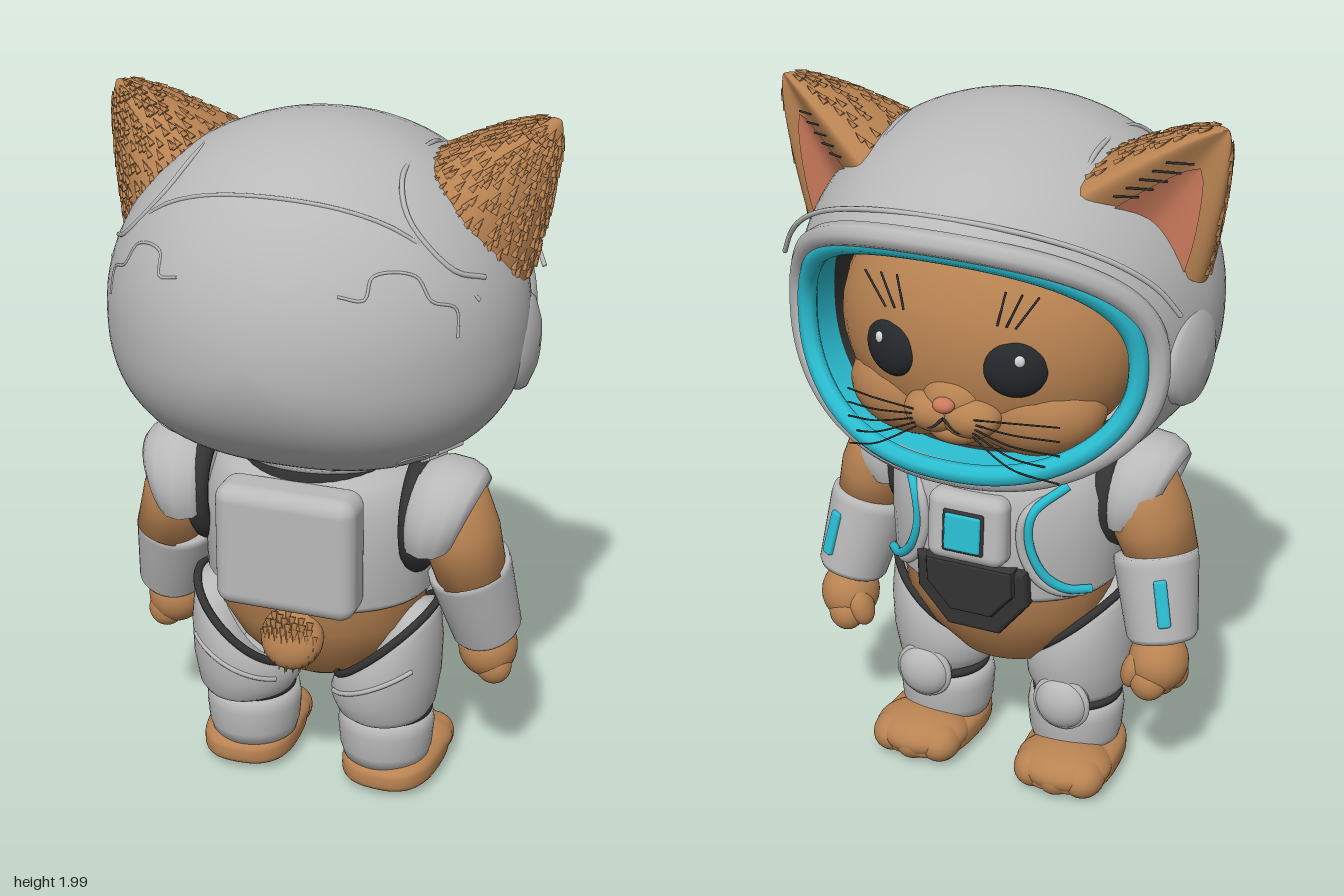
import * as THREE from 'three';
import { mergeGeometries } from 'three/addons/utils/BufferGeometryUtils.js';
import { RoundedBoxGeometry } from 'three/addons/geometries/RoundedBoxGeometry.js';

const V = (x, y, z) => new THREE.Vector3(x, y, z);
const mat = (name, color, double) => {
  const m = new THREE.MeshStandardMaterial({ color });
  m.name = name;
  if (double) m.side = THREE.DoubleSide;
  return m;
};
const suit = mat('suit grey', 0xb9b9ba, true), fur = mat('fur brown', 0xb98352);
const teal = mat('teal light', 0x2abdd1, true), dark = mat('dark rubber', 0x343435, true), pink = mat('ear pink', 0xcb7a5c, true);
const eyeMat = mat('eye black', 0x25282c), white = mat('eye highlight', 0xd4d6d8);

function add(parent, name, geo, material, p = [0, 0, 0], rot = [0, 0, 0], scale = [1, 1, 1]) {
  const m = new THREE.Mesh(geo, material);
  m.name = name;
  m.position.set(...p); m.rotation.set(...rot); m.scale.set(...scale);
  parent.add(m);
  return m;
}
const ell = (g, name, m, p, r, rot) => add(g, name, new THREE.SphereGeometry(1, 32, 20), m, p, rot, r);
const tube = (g, name, m, pts, r, closed = false) =>
  add(g, name, new THREE.TubeGeometry(new THREE.CatmullRomCurve3(pts, closed, 'centripetal'), pts.length * 5, r, 8, closed), m);
const lathe = (g, name, m, prof, p, rot, zs = 1) =>
  add(g, name, new THREE.LatheGeometry(prof.map(q => new THREE.Vector2(...q)), 40), m, p, rot, [1, 1, zs]);
const range = (n, f) => Array.from({ length: n }, (_, i) => f(i));
const pw = (v, e) => Math.sign(v) * Math.abs(v) ** e;

// Skin a list of equal cross-section rows
function loft(rows, closed = true) {
  const n = rows[0].length, pos = [], idx = [];
  rows.forEach(r => r.forEach(p => pos.push(p.x, p.y, p.z)));
  for (let i = 0; i < rows.length - 1; i++) for (let j = 0; j < (closed ? n : n - 1); j++) {
    const a = i * n + j, b = i * n + (j + 1) % n;
    idx.push(a, b, b + n, a, b + n, a + n);
  }
  const g = new THREE.BufferGeometry();
  g.setAttribute('position', new THREE.Float32BufferAttribute(pos, 3));
  g.setIndex(idx);
  g.computeVertexNormals();
  return g;
}

// Mirrored copy with corner order restored
function mirror(src, name) {
  const out = new THREE.Group();
  out.name = name;
  src.updateMatrixWorld(true);
  src.traverse(o => {
    if (!o.isMesh) return;
    const g = o.geometry.clone().applyMatrix4(o.matrixWorld), n = g.attributes.normal, p = g.attributes.position;
    const ix = g.index ? Array.from(g.index.array) : range(p.count, i => i);
    for (let i = 0; i < ix.length; i += 3) [ix[i], ix[i + 1]] = [ix[i + 1], ix[i]];
    g.setIndex(ix);
    for (let i = 0; i < p.count; i++) {
      p.setX(i, -p.getX(i));
      n.setX(i, -n.getX(i));
    }
    add(out, o.name, g, o.material);
  });
  return out;
}

// Visor opening outline; lift moves its top edge forward
function rim(phi, s = 1, dz = 0, lift = 0) {
  const c = Math.cos(phi), q = Math.sin(phi);
  return V(0.485 * s * pw(c, 0.88), 1.41 + 0.325 * s * pw(q, 0.88), 0.27 + (q > 0 ? 0.24 + lift : 0.14) * q * q + dz);
}
const rimLoop = (n, ...r) => range(n, i => rim(i / n * Math.PI * 2, ...r));

// Helmet surface: round above the middle, fuller below
const MID = 1.46, UP = 0.52, DOWN = 0.42;
const shellTop = (x, z) => V(x, MID + UP * Math.sqrt(Math.max(0, 1 - (x / 0.57) ** 2 - (z / 0.54) ** 2)), z);
function shellBack(x, y) {
  const e = y < MID ? 2.5 : 2, h = y < MID ? DOWN : UP;
  const q = (Math.abs(x / 0.57) ** e + Math.abs((y - MID) / h) ** e) ** (1 / e);
  return V(x, y, -0.54 * Math.sqrt(Math.max(0, 1 - q * q)));
}

function helmet(g) {
  const rows = range(45, i => {
    const t = i / 44, a = t * 2.2, w = THREE.MathUtils.smoothstep(t, 0.72, 1);
    return range(96, j => {
      const p = j / 96 * Math.PI * 2, c = Math.cos(p), s = Math.sin(p), low = s < 0, r = Math.sin(a);
      const v = V(0.57 * r * pw(c, low ? 0.8 : 1), MID + r * (low ? DOWN * pw(s, 0.8) : UP * s), -0.54 * Math.cos(a));
      v.lerp(rim(p, 1.075, -0.02, 0.015), w);
      v.y += 0.16 * w * (1 - w) * s; // fuller brow and jaw
      return v;
    });
  });
  add(g, 'helmetShell', loft(rows), suit);
  tube(g, 'visorLip', suit, rimLoop(48, 1.045, -0.02, 0.02), 0.033, true);
  tube(g, 'visorGlowRing', teal, rimLoop(48, 0.965, 0.017, -0.03), 0.027, true);
  add(g, 'visorGlowBand', loft([rimLoop(64, 0.96, 0.01, -0.03), rimLoop(64, 0.94, -0.11)]), teal);
  add(g, 'visorLiner', loft([rimLoop(64, 0.94, -0.11), rimLoop(64, 0.97, -0.25)]), dark);
  tube(g, 'crownSeam', suit, [-0.5, -0.3, 0, 0.3, 0.5].map(x => shellTop(x, -0.35 + 0.55 * x * x)), 0.006);
  tube(g, 'browSeam', suit, range(13, i => rim(Math.PI * (0.1 + i / 15), 1.2, -0.055, 0.01)), 0.007);
  lathe(g, 'neckSeal', dark, [[0.22, 0.95], [0.24, 1.0], [0.22, 1.08]], [0, 0, 0.04]);
  lathe(g, 'helmetCollar', suit, [[0.2, 1.03], [0.26, 1.035], [0.29, 1.06], [0.27, 1.1]], [0, 0, 0.08]);
}

function helmetSide(g) {
  lathe(g, 'earphoneDisc', suit, [[0.132, -0.06], [0.132, 0], [0.122, 0.016], [0.07, 0.036], [0, 0.042]], [0.543, 1.385, 0.1], [0, -0.08, -Math.PI / 2]);
  tube(g, 'earPanelSeam', suit, [[0.28, 0.2], [0.28, 0.1], [0.28, -0.17], [0.33, -0.26], [0.44, -0.25], [0.5, -0.17]].map(p => shellTop(...p)), 0.007);
  tube(g, 'rearBracketSeam', suit, [[0.21, 1.66], [0.27, 1.65], [0.28, 1.7], [0.37, 1.69], [0.41, 1.63], [0.46, 1.6], [0.47, 1.53]].map(p => shellBack(...p)), 0.004);
  tube(g, 'lowerRearSeam', suit, [[0.3, 1.13], [0.33, 1.17], [0.39, 1.18]].map(p => shellBack(...p)), 0.004);
  for (const k of [0, 1, 2]) tube(g, 'sideVent', suit, [shellBack(0.4 - k * 0.03, 1.17 - k * 0.03), shellBack(0.445 - k * 0.04, 1.175 - k * 0.03)], 0.008);
}

function ear(g) {
  const base = [V(0.555, 1.585, 0.1), V(0.53, 1.6, -0.05), V(0.41, 1.72, -0.165), V(0.3, 1.86, -0.08), V(0.29, 1.83, 0.28), V(0.4, 1.69, 0.157)];
  const curve = new THREE.CatmullRomCurve3(base, true), c0 = V(0.42, 1.7, 0.07), tip = V(0.615, 1.99, 0.1);
  const at = (u, t) => curve.getPoint(u).sub(c0).multiplyScalar((1 - t) ** 0.75).add(c0.clone().lerp(tip, t));
  add(g, 'earShell', loft(range(21, i => range(48, j => at(j / 48, 1 - (1 - i / 20) ** 1.4)))), fur);
  const face = V(0.57, -0.08, 0.82).multiplyScalar(0.006);
  add(g, 'innerEar', loft(range(12, i => range(12, j => {
    const t = i / 11, w = 0.1 * Math.sqrt(1 - t * t);
    return at(0.845 + (j / 5.5 - 1) * w, 0.02 + t * 0.68).add(face);
  })), false), pink);
  // Fur tufts over the back of the ear
  let seed = 7;
  const rnd = () => (seed = (seed * 16807) % 2147483647) / 2147483647;
  const tufts = [];
  for (let i = 0; i < 15; i++) for (let j = 0; j < 15; j++) {
    const u = 0.03 + (j + rnd()) / 15 * 0.6, t = 0.03 + (i + rnd()) / 15 * 0.87, p = at(u, t);
    const out = p.clone().sub(c0.clone().lerp(tip, t)).normalize();
    const dir = at(u, t + 0.05).sub(p).normalize().addScaledVector(out, 0.22).normalize();
    const q = new THREE.Quaternion().setFromUnitVectors(V(0, 1, 0), dir);
    tufts.push(new THREE.ConeGeometry(0.01, 0.034, 5).translate(0, 0.009, 0).applyQuaternion(q).translate(p.x, p.y, p.z));
  }
  add(g, 'earTufts', mergeGeometries(tufts), fur);
  for (let k = 0; k < 5; k++) tube(g, 'earHair', dark, [at(0.72, 0.2 + k * 0.1).add(face), at(0.76 + 0.01 * k, 0.3 + k * 0.1).addScaledVector(face, 2)], 0.003);
}

function faceSide(g) {
  ell(g, 'eye', eyeMat, [0.175, 1.395, 0.372], [0.086, 0.08, 0.042], [0, 0.4, 0]);
  ell(g, 'eyeHighlight', white, [0.195, 1.427, 0.402], [0.014, 0.016, 0.009], [0, 0.4, 0]);
  ell(g, 'eyeRim', white, [0.118, 1.375, 0.405], [0.01, 0.03, 0.01], [0, 0.3, 0.4]);
  ell(g, 'muzzleCheek', fur, [0.05, 1.245, 0.38], [0.085, 0.06, 0.068]);
  ell(g, 'cheek', fur, [0.16, 1.24, 0.23], [0.2, 0.14, 0.15]);
  tube(g, 'mouthLine', dark, [V(0, 1.25, 0.442), V(0.04, 1.217, 0.437), V(0.09, 1.222, 0.419)], 0.004);
  for (let k = 0; k < 5; k++) tube(g, 'whisker', dark, [V(0.08, 1.26 - k * 0.012, 0.437), V(0.19, 1.275 - k * 0.032, 0.445), V(0.3, 1.26 - k * 0.04, 0.39)], 0.0025);
  for (let k = 0; k < 3; k++) tube(g, 'browHair', dark, [V(0.13 + k * 0.025, 1.51, 0.393), V(0.15 + k * 0.045, 1.6, 0.385)], 0.003);
}

function arm(g) {
  lathe(g, 'upperArm', fur, [[0, -0.17], [0.095, -0.13], [0.108, 0], [0.1, 0.1], [0.06, 0.15], [0, 0.165]], [0.415, 0.84, 0], [0.05, 0, 0.3], 1.18);
  add(g, 'armholeSeal', new THREE.TorusGeometry(0.145, 0.032, 12, 36), dark, [0.308, 0.9, -0.02], [0, Math.PI / 2, 0], [0.85, 1, 1]);
  // Shoulder shell: an arch that flares out and opens over the arm
  const arch = ([x, r]) => range(25, j => {
    const a = -0.4 + j / 24 * (Math.PI + 0.8), s = Math.sin(a);
    return V(0.29 + (x - 0.29) * (0.75 + 0.25 * s), 0.905 + r * s, -0.035 + r * 0.98 * Math.cos(a));
  });
  add(g, 'shoulderPad', loft([[0.28, 0.06], [0.29, 0.12], [0.32, 0.155], [0.38, 0.17], [0.44, 0.163], [0.48, 0.142], [0.497, 0.118], [0.48, 0.105], [0.4, 0.1]].map(arch), false), suit);
  const cuff = new THREE.Group();
  cuff.name = 'forearm';
  cuff.position.set(0.457, 0.637, 0.04); cuff.rotation.set(-0.24, 0, 0.2);
  lathe(cuff, 'forearmCuff', suit, [[0.07, -0.125], [0.09, -0.13], [0.099, -0.115], [0.117, 0.09], [0.115, 0.115], [0.08, 0.118]], [0, 0, 0], [0, 0, 0], 1.07);
  add(cuff, 'cuffLight', new RoundedBoxGeometry(0.036, 0.135, 0.02, 3, 0.008), teal, [0.045, -0.01, 0.107], [0.07, 0.43, 0]);
  g.add(cuff);
  ell(g, 'palm', fur, [0.48, 0.45, 0.09], [0.084, 0.09, 0.088]);
  for (let k = 0; k < 3; k++) ell(g, 'finger', fur, [0.505 - k * 0.018, 0.405, 0.06 + k * 0.04], [0.052, 0.055, 0.045]);
  ell(g, 'thumb', fur, [0.425, 0.43, 0.13], [0.036, 0.06, 0.042], [0, 0, -0.3]);
}

function leg(g) {
  const ring = (t, k) => range(48, j => {
    const p = j / 48 * Math.PI * 2, c = Math.cos(p);
    return V(0.213 + 0.157 * k * c, 0.265 + t * (0.225 + 0.125 * c), -0.015 - 0.18 * k * Math.sin(p));
  });
  add(g, 'thighArmour', loft([[0, 0.6], [0, 0.8], [0.08, 0.89], [0.35, 0.98], [0.65, 1], [0.9, 0.95], [1, 0.87], [1.02, 0.5]].map(r => ring(...r))), suit);
  tube(g, 'thighPiping', dark, ring(1.01, 0.89), 0.012, true);
  tube(g, 'thighSeam', suit, ring(0.62, 1).slice(6, 20), 0.007);
  lathe(g, 'kneeSeal', dark, [[0.1, 0.24], [0.128, 0.245], [0.13, 0.26], [0.1, 0.275]], [0.21, 0, 0.01]);
  lathe(g, 'shinArmour', suit, [[0.1, 0.09], [0.124, 0.095], [0.134, 0.13], [0.14, 0.2], [0.134, 0.242], [0.1, 0.248]], [0.205, 0, 0.01]);
  ell(g, 'kneePad', suit, [0.215, 0.275, 0.14], [0.08, 0.082, 0.055]);
  add(g, 'kneePadRing', new THREE.TorusGeometry(0.074, 0.012, 10, 28), suit, [0.215, 0.275, 0.148]);
  // Boxy rounded foot with a flat sole and soft toes
  const sole = new THREE.SphereGeometry(1, 40, 28), a = sole.attributes.position;
  for (let i = 0; i < a.count; i++) a.setXYZ(i, pw(a.getX(i), 0.75), pw(a.getY(i), 0.6), pw(a.getZ(i), 0.75));
  sole.computeVertexNormals();
  add(g, 'foot', sole, fur, [0.22, 0.062, 0.062], [0, 0.06, 0], [0.14, 0.055, 0.19]);
  ell(g, 'forefoot', fur, [0.225, 0.076, 0.145], [0.14, 0.066, 0.12]);
  for (let k = 0; k < 3; k++) ell(g, 'toe', fur, [0.15 + k * 0.075, 0.066, k === 1 ? 0.195 : 0.182], [0.06, 0.058, 0.07]);
}

function chestSide(g) {
  const onChest = (x, y) => V(x, y, 0.034 + 0.8 * Math.sqrt((0.337 - Math.max(0, y - 0.93) * 0.6) ** 2 - x * x));
  const line = [[0.24, 0.985], [0.175, 0.93], [0.165, 0.84], [0.2, 0.74], [0.25, 0.69], [0.3, 0.67]].map(p => onChest(...p));
  tube(g, 'chestLight', teal, line, 0.013);
  tube(g, 'chestRidge', suit, line.map(p => V(p.x - 0.022, p.y - 0.012, p.z + 0.002)), 0.014);
}

function torso(g) {
  lathe(g, 'belly', fur, [[0, 0.32], [0.06, 0.325], [0.15, 0.37], [0.24, 0.46], [0.3, 0.56], [0.315, 0.66]], [0, 0, 0.025], [0, 0, 0], 0.78);
  lathe(g, 'chestArmour', suit, [[0.28, 0.645], [0.315, 0.64], [0.332, 0.66], [0.338, 0.8], [0.335, 0.93], [0.29, 1.01], [0.2, 1.05], [0.1, 1.06]], [0, 0, 0.025], [0, 0, 0], 0.8);
  const s = new THREE.Shape([[-0.15, 0.09], [-0.15, 0], [-0.07, -0.1], [0.07, -0.1], [0.15, 0], [0.15, 0.09]].map(p => new THREE.Vector2(...p)));
  for (const k of [0, 1]) add(g, 'abdomenPlate', new THREE.ExtrudeGeometry(s, { depth: 0.04, bevelSize: 0.015, bevelThickness: 0.02, bevelSegments: 3 }), dark,
    [0, 0.65 + k * 0.03, 0.225 + k * 0.015], [0.06, 0, 0], [1 - k * 0.2, 1 - k * 0.25, 1]);
  add(g, 'chestUnit', new RoundedBoxGeometry(0.23, 0.2, 0.1, 4, 0.035), suit, [0, 0.865, 0.282], [-0.1, 0, 0]);
  add(g, 'chestScreenFrame', new RoundedBoxGeometry(0.122, 0.122, 0.02, 3, 0.008), dark, [0, 0.865, 0.328], [-0.1, 0, 0]);
  add(g, 'chestScreen', new RoundedBoxGeometry(0.106, 0.106, 0.02, 3, 0.008), teal, [0, 0.865, 0.335], [-0.1, 0, 0]);
  add(g, 'backpack', new RoundedBoxGeometry(0.4, 0.36, 0.14, 5, 0.045), suit, [0, 0.84, -0.238]);
  ell(g, 'tail', fur, [0, 0.55, -0.22], [0.09, 0.09, 0.06], [0.4, 0, 0]);
  const tufts = range(60, i => {
    const r = 0.08 * Math.sqrt(i / 60), t = i * 2.4, x = r * Math.cos(t), y = r * Math.sin(t);
    return new THREE.ConeGeometry(0.011, 0.045, 5).rotateX(-2.7).translate(x, 0.545 + y, -0.215 - 0.06 * Math.sqrt(1 - (r / 0.09) ** 2));
  });
  add(g, 'tailTufts', mergeGeometries(tufts), fur);
}

export function createModel() {
  const root = new THREE.Group(), body = new THREE.Group();
  root.name = 'astronautKitten'; body.name = 'body';
  helmet(body);
  torso(body);
  ell(body, 'head', fur, [0, 1.41, 0.13], [0.42, 0.36, 0.29]);
  ell(body, 'muzzle', fur, [0, 1.28, 0.365], [0.09, 0.08, 0.072]);
  ell(body, 'chin', fur, [0, 1.195, 0.36], [0.08, 0.045, 0.06]);
  ell(body, 'nose', pink, [0, 1.287, 0.438], [0.03, 0.021, 0.025]);
  for (const [name, build] of Object.entries({ HelmetSide: helmetSide, Ear: ear, Face: faceSide, Arm: arm, Leg: leg, Chest: chestSide })) {
    const g = new THREE.Group();
    g.name = 'left' + name;
    build(g);
    body.add(g, mirror(g, 'right' + name));
  }
  body.rotation.y = Math.PI; // the face looks toward -z
  root.add(body);
  return root;
}
